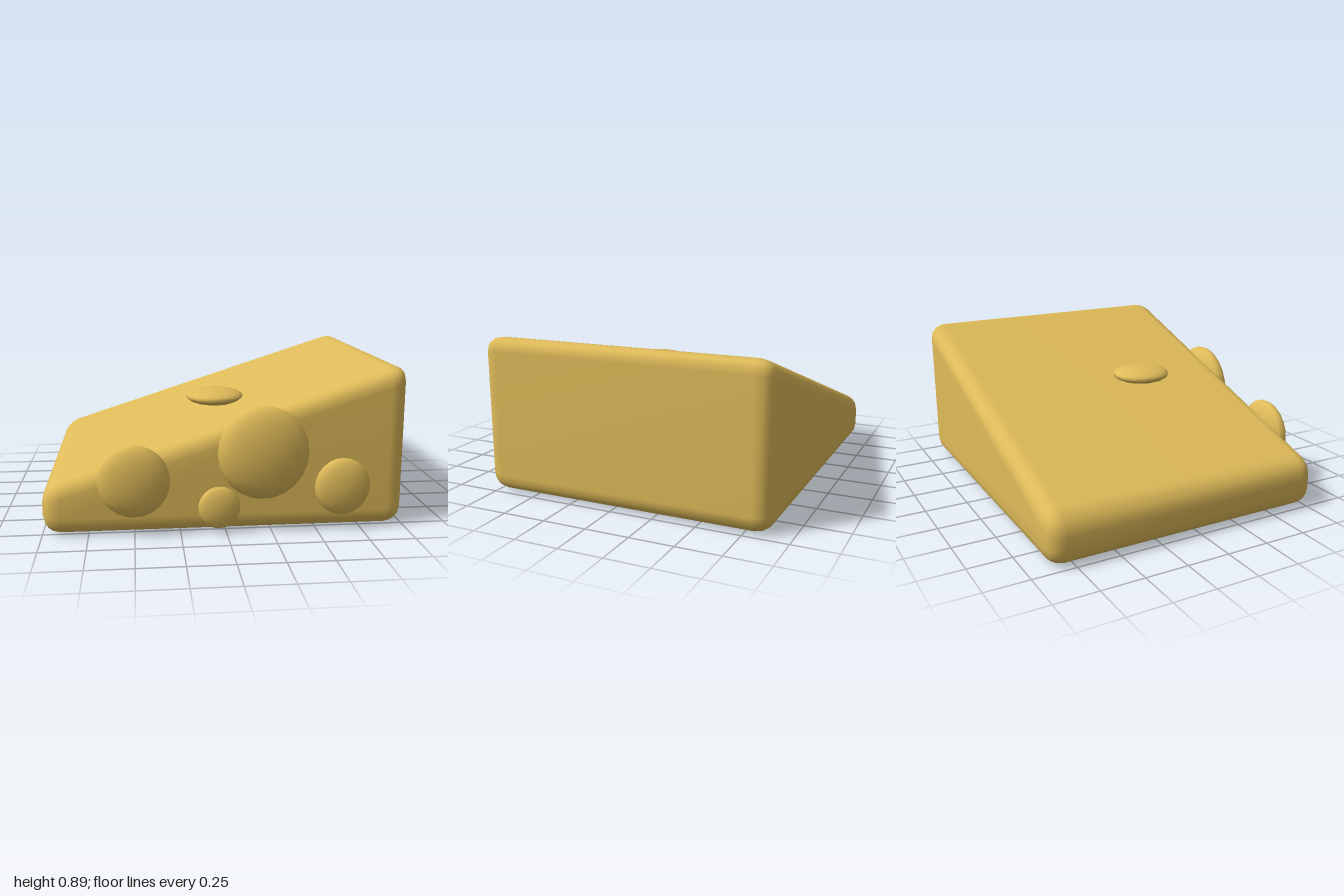
import * as THREE from 'three';
import { mergeVertices } from 'three/addons/utils/BufferGeometryUtils.js';
import { RoundedBoxGeometry } from 'three/addons/geometries/RoundedBoxGeometry.js';

const cheeseYellow = new THREE.MeshStandardMaterial({ color: 0xdfbb59 });
cheeseYellow.name = 'cheeseYellow';

// Rounded block whose upper half is slanted along x
function wedgeGeometry() {
  const height = 0.595, slope = 0.322;
  let geometry = new RoundedBoxGeometry(2, height, 1.7, 2, 0.1);
  geometry.translate(0, height / 2, -0.05);
  const p = geometry.attributes.position;
  for (let i = 0; i < p.count; i++) {
    if (p.getY(i) > height / 2) p.setY(i, p.getY(i) + slope * p.getX(i));
  }
  // Weld so the rounded edges shade smoothly
  geometry.deleteAttribute('normal');
  geometry.deleteAttribute('uv');
  geometry.clearGroups();
  geometry = mergeVertices(geometry, 1e-4);
  geometry.computeVertexNormals();
  return geometry;
}

export function createModel() {
  const model = new THREE.Group();
  model.name = 'cheeseWedge';

  const wedge = new THREE.Mesh(wedgeGeometry(), cheeseYellow);
  wedge.name = 'wedge';
  model.add(wedge);

  // Flattened round spots: name, centre, radii
  const ball = new THREE.SphereGeometry(1, 16, 12);
  const spots = [
    ['frontSpotLeftEnd', [-0.5, 0.305, 0.81], [0.195, 0.2, 0.07]],
    ['frontSpotLarge', [0.2, 0.445, 0.81], [0.25, 0.257, 0.09]],
    ['frontSpotSmall', [-0.04, 0.145, 0.81], [0.115, 0.118, 0.04]],
    ['frontSpotTallEnd', [0.64, 0.245, 0.81], [0.155, 0.16, 0.055]],
    ['topSpot', [-0.003, 0.645, 0.19], [0.172, 0.05, 0.178]],
  ];
  for (const [name, centre, radii] of spots) {
    const spot = new THREE.Mesh(ball, cheeseYellow);
    spot.name = name;
    spot.position.set(...centre);
    spot.scale.set(...radii);
    model.add(spot);
  }
  return model;
}
